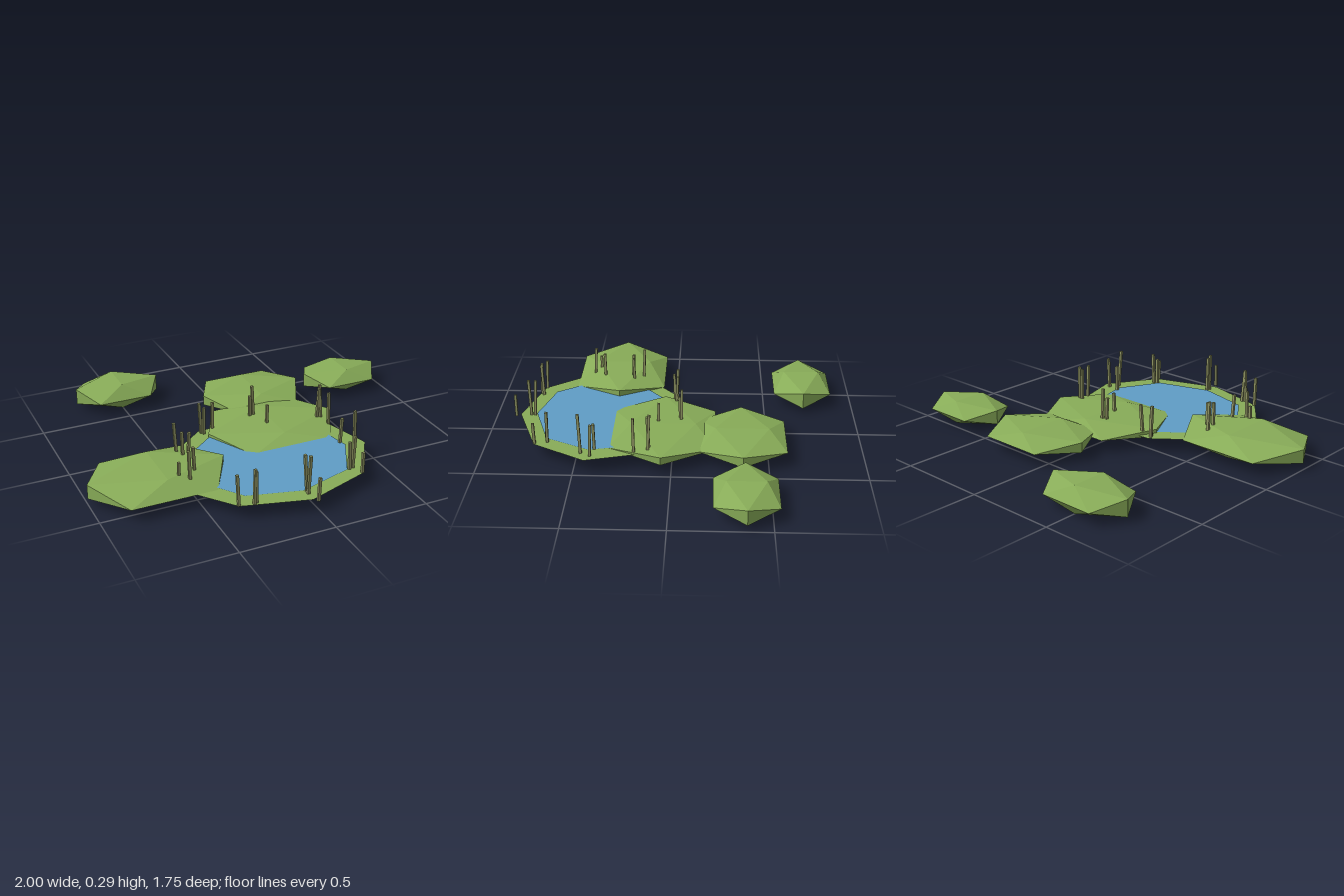
import * as THREE from 'three';

const LEVEL = 0.074; // waterline height

export function createModel() {
  const model = new THREE.Group();
  model.name = 'pond';
  const grass = new THREE.MeshStandardMaterial({ name: 'grass green', color: 0x88ac58, flatShading: true });
  const bank = new THREE.MeshStandardMaterial({ name: 'bank green', color: 0x88ac58, side: THREE.DoubleSide });
  const water = new THREE.MeshStandardMaterial({ name: 'water blue', color: 0x5f9dc6 });
  const stalk = new THREE.MeshStandardMaterial({ name: 'reed olive', color: 0x8f9462, flatShading: true });

  const add = (name, geometry, material, x, y, z) => {
    const mesh = new THREE.Mesh(geometry, material);
    mesh.name = name;
    mesh.position.set(x, y, z);
    model.add(mesh);
    return mesh;
  };

  // Flat polygons given as [x, z] corners, facing up
  const flat = (points) => {
    const shape = new THREE.Shape(points.map(([x, z]) => new THREE.Vector2(x, -z)));
    return new THREE.ShapeGeometry(shape).rotateX(-Math.PI / 2);
  };
  add('bank', flat([
    [-0.27, -0.037], [0.05, -0.05], [0.385, 0.1], [0.478, 0.442], [0.312, 0.72],
    [-0.04, 0.842], [-0.388, 0.75], [-0.6, 0.48], [-0.54, 0.18],
  ]), bank, 0, LEVEL, 0);
  add('waterSurface', flat([
    [-0.24, 0.05], [0.05, 0.03], [0.31, 0.16], [0.368, 0.43], [0.247, 0.663],
    [-0.045, 0.753], [-0.325, 0.68], [-0.49, 0.45], [-0.45, 0.22],
  ]), water, 0, LEVEL + 0.004, 0);

  // Grassy mounds: squashed icosahedra as [x, y, z, half width, half height, half depth]
  const reach = 0.8507; // widest coordinate of a unit icosahedron
  [
    [-0.64, 0.073, 0.32, 0.36, 0.063, 0.25],
    [-0.5, 0.073, -0.718, 0.242, 0.073, 0.16],
    [0.188, 0.077, -0.365, 0.293, 0.045, 0.23],
    [0.113, 0.074, 0.053, 0.363, 0.034, 0.279],
    [0.77, 0.074, -0.374, 0.23, 0.064, 0.16],
  ].forEach(([x, y, z, w, h, d], i) => {
    const geometry = new THREE.IcosahedronGeometry(1, 0).rotateY(Math.PI / 2)
      .scale(w / reach, h / reach, d / reach);
    add('mound' + (i + 1), geometry, grass, x, y, z);
  });

  // Reeds in clusters of three around the bank: [x, z, top height]
  const clusters = [
    [[-0.27, -0.012, 0.25], [-0.255, 0.005, 0.23], [-0.2, -0.01, 0.24]],
    [[0.03, -0.033, 0.225], [0.052, -0.042, 0.275], [0.08, 0.08, 0.21]],
    [[0.367, 0.12, 0.27], [0.382, 0.118, 0.285], [0.392, 0.195, 0.27]],
    [[0.355, 0.4, 0.22], [0.43, 0.412, 0.25], [0.395, 0.47, 0.29]],
    [[0.262, 0.655, 0.225], [0.288, 0.65, 0.25], [0.302, 0.718, 0.19]],
    [[-0.038, 0.757, 0.275], [-0.033, 0.785, 0.282], [-0.02, 0.862, 0.2]],
    [[-0.39, 0.742, 0.24], [-0.3, 0.755, 0.25], [-0.31, 0.76, 0.26]],
    [[-0.572, 0.445, 0.2], [-0.48, 0.415, 0.25], [-0.527, 0.475, 0.265]],
    [[-0.44, 0.245, 0.24], [-0.475, 0.25, 0.25], [-0.49, 0.19, 0.275]],
  ];
  clusters.flat().forEach(([x, z, top], i) => {
    const height = top - LEVEL;
    const reed = add('reed' + (i + 1), new THREE.BoxGeometry(0.014, height, 0.014),
      stalk, x, LEVEL + height / 2, z);
    // Slight varied lean
    reed.rotation.set(0.05 * Math.sin(i * 2.4), 0, 0.05 * Math.cos(i * 1.7));
  });
  return model;
}
